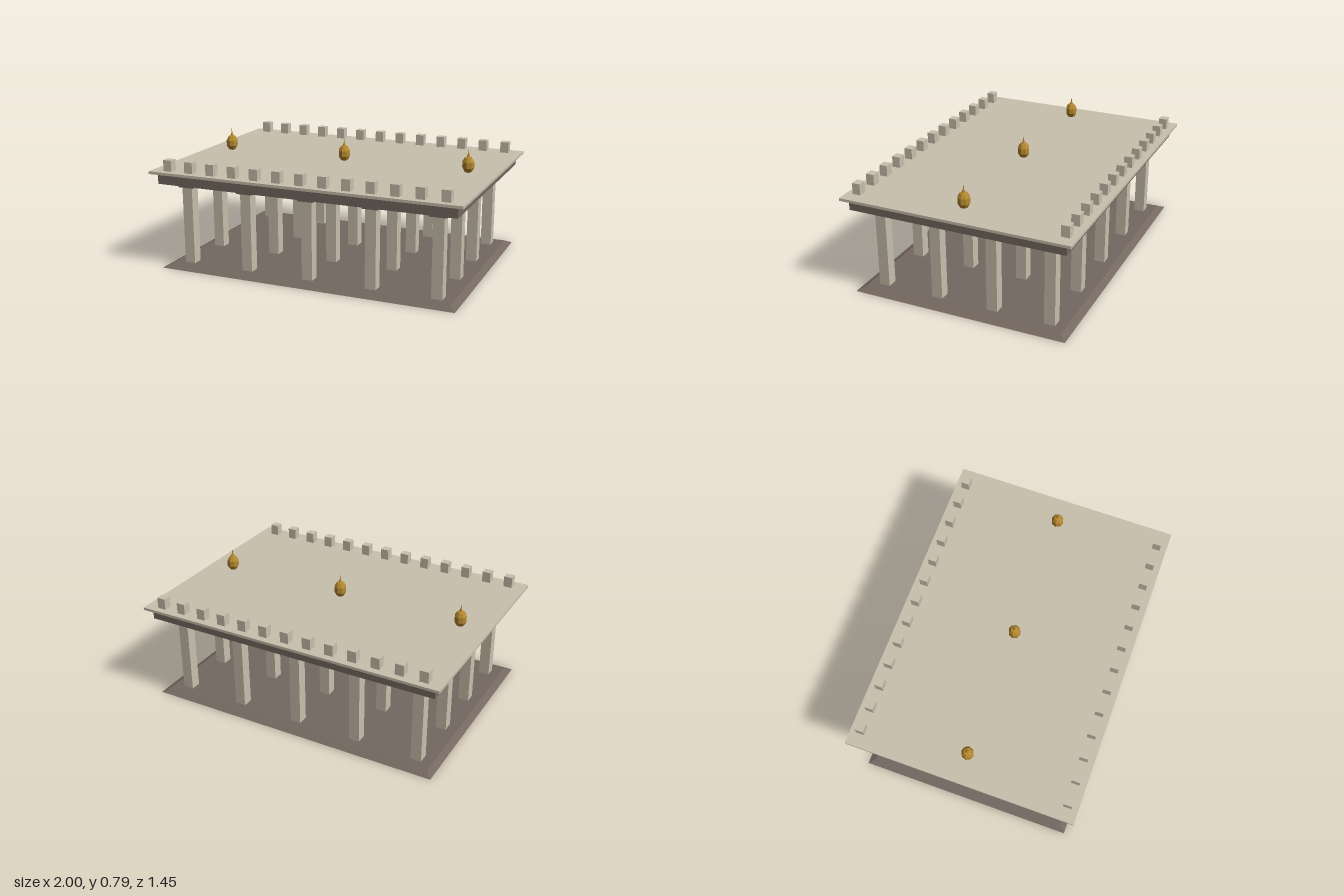
import * as THREE from 'three';

const stone = new THREE.MeshStandardMaterial({ color: 0xc9c0ae, flatShading: true });
stone.name = 'paleStone';
const dark = new THREE.MeshStandardMaterial({ color: 0x746860, flatShading: true, side: THREE.DoubleSide });
dark.name = 'darkStone';
const gold = new THREE.MeshStandardMaterial({ color: 0xb5892f, flatShading: true, side: THREE.DoubleSide });
gold.name = 'gold';

function add(parent, name, geometry, material, x = 0, y = 0, z = 0) {
  const mesh = new THREE.Mesh(geometry, material);
  mesh.name = name;
  mesh.position.set(x, y, z);
  parent.add(mesh);
  return mesh;
}

// Box standing between two heights
function block(parent, name, material, w, y0, y1, d, x = 0, z = 0) {
  return add(parent, name, new THREE.BoxGeometry(w, y1 - y0, d), material, x, (y0 + y1) / 2, z);
}

// Thin plinth: flat top with a skirt flaring outwards, hollow underneath
function plinthGeometry(hx, hz, h, inset) {
  const g = new THREE.BoxGeometry(2 * hx, h, 2 * hz);
  g.translate(0, h / 2, 0);
  const p = g.attributes.position;
  for (let i = 0; i < p.count; i++) {
    if (p.getY(i) > h / 2) {
      p.setX(i, Math.sign(p.getX(i)) * (hx - inset));
      p.setZ(i, Math.sign(p.getZ(i)) * (hz - inset));
    }
  }
  // Leave out the bottom face (fourth group of the box)
  const index = Array.from(g.index.array);
  index.splice(18, 6);
  g.setIndex(index);
  g.clearGroups();
  g.computeVertexNormals();
  return g;
}

const lathe = (points) =>
  new THREE.LatheGeometry(points.map(([r, y]) => new THREE.Vector2(r, y)), 8);

export function createModel() {
  const model = new THREE.Group();
  model.name = 'pillaredHall';

  add(model, 'plinth', plinthGeometry(0.96, 0.685, 0.02, 0.042), dark);

  // Grid of square pillars with capitals
  const pillars = new THREE.Group();
  pillars.name = 'pillars';
  model.add(pillars);
  for (let i = -2; i <= 2; i++) {
    for (const z of [-0.547, -0.182, 0.182, 0.547]) {
      block(pillars, 'pillar', stone, 0.068, 0.0192, 0.517, 0.068, i * 0.41, z);
      block(pillars, 'capital', dark, 0.102, 0.516, 0.551, 0.102, i * 0.41, z);
    }
  }

  // Entablature and roof slab
  block(model, 'entablature', dark, 1.92, 0.55, 0.619, 1.37);
  block(model, 'roofSlab', stone, 2, 0.618, 0.635, 1.45);

  // Battlements along the front and back edges
  const battlements = new THREE.Group();
  battlements.name = 'battlements';
  model.add(battlements);
  for (const z of [-0.658, 0.658]) {
    for (let i = -6; i <= 6; i++) {
      block(battlements, 'merlon', stone, 0.055, 0.634, 0.705, 0.052, i * 0.1483, z);
    }
  }

  // Roof finials: faceted bulb with a thin spike
  const bulb = lathe([[0, 0], [0.023, 0.008], [0.038, 0.034], [0.038, 0.07], [0.023, 0.096], [0, 0.104]]);
  const spike = lathe([[0.012, 0.098], [0.004, 0.12], [0, 0.15]]);
  for (const x of [-0.82, 0, 0.82]) {
    const finial = new THREE.Group();
    finial.name = 'finial';
    finial.position.set(x, 0.635, 0);
    add(finial, 'finialBulb', bulb, gold);
    add(finial, 'finialSpike', spike, gold);
    model.add(finial);
  }

  return model;
}
